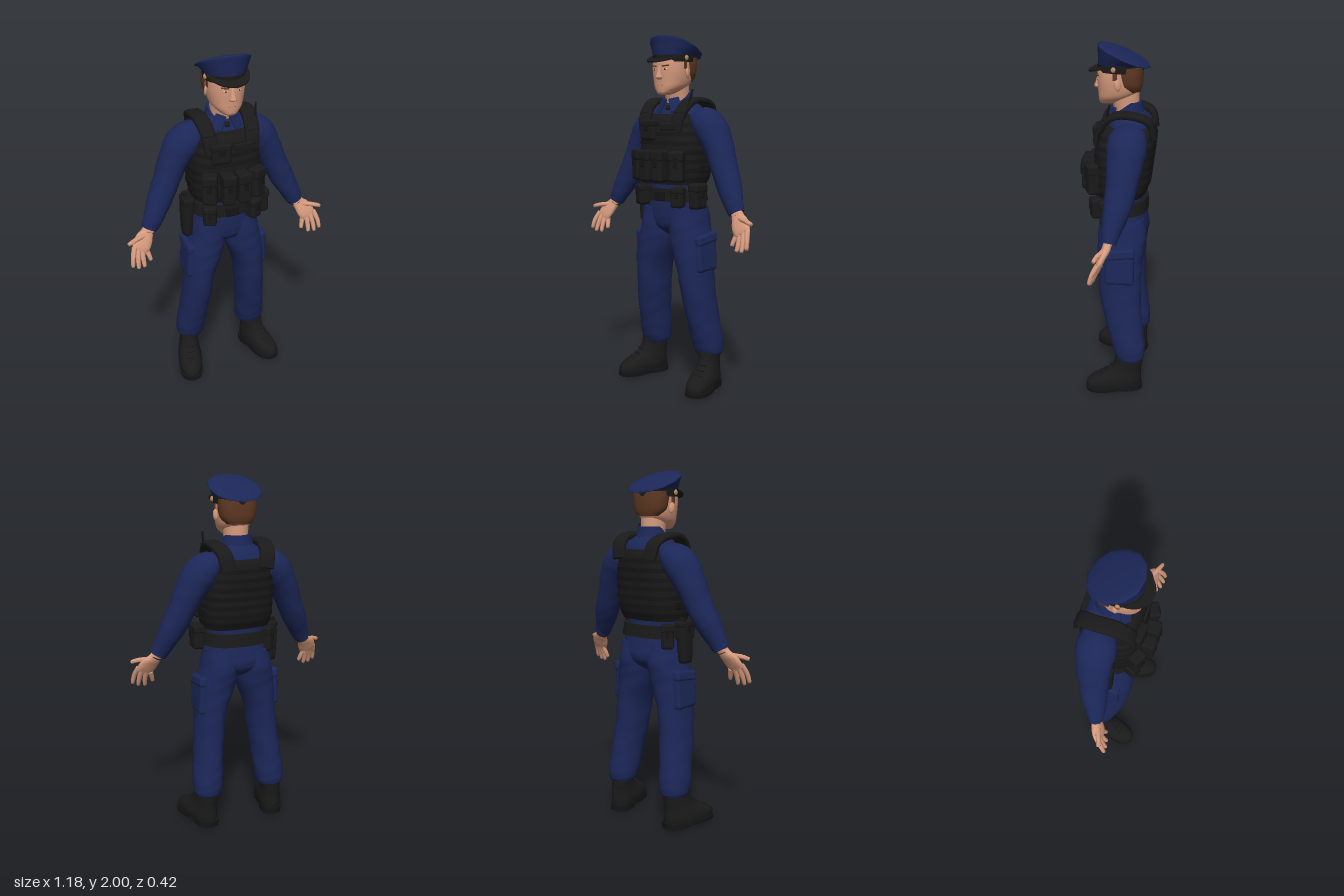
import * as THREE from 'three';
import { toCreasedNormals } from 'three/addons/utils/BufferGeometryUtils.js';
import { RoundedBoxGeometry } from 'three/addons/geometries/RoundedBoxGeometry.js';

const mats = {};
for (const [name, hex] of Object.entries({
  navyCloth: 0x1c2758, blackGear: 0x1a1a1a, darkWebbing: 0x151515, skin: 0xd69a7d,
  hairBrown: 0x5e3822, eyeWhite: 0xd8d0c8, lip: 0xb47561, tan: 0xc08a60,
})) mats[name] = new THREE.MeshStandardMaterial({ name, color: hex });
const { navyCloth, blackGear, darkWebbing, skin, hairBrown, eyeWhite, lip, tan } = mats;

function add(parent, name, geo, mat, pos = [0, 0, 0], rot = [0, 0, 0], scale = [1, 1, 1]) {
  const m = new THREE.Mesh(geo, mat);
  m.name = name;
  m.position.set(...pos);
  m.rotation.set(...rot);
  m.scale.set(...scale);
  parent.add(m);
}

// Closed skin over superellipse rings [x, y, z, rx, rz]; tilt turns rings along the path
function loft(rings, { seg = 24, n = 2, steps = 4, tilt = false, wrinkle = 0, crease = 0.9, move } = {}) {
  const curve = (f) => new THREE.CatmullRomCurve3(rings.map(f), false, 'catmullrom', 0.5);
  const mid = curve((r) => new THREE.Vector3(r[0], r[1], r[2]));
  const rad = curve((r) => new THREE.Vector3(r[3], r[4], 0));
  const rows = (rings.length - 1) * steps, pos = [], idx = [];
  const sp = (v) => Math.sign(v) * Math.abs(v) ** (2 / n);
  for (let i = 0; i <= rows; i++) {
    const k = i / rows, c = mid.getPoint(k), r = rad.getPoint(k);
    const t = tilt ? mid.getTangent(k) : new THREE.Vector3(0, 1, 0);
    const u = new THREE.Vector3(1, 0, 0).addScaledVector(t, -t.x).normalize();
    const v = u.clone().cross(t);
    for (let j = 0; j < seg; j++) {
      const a = (j / seg) * Math.PI * 2;
      const w = 1 + wrinkle * Math.sin(i * 1.55 + 2 * Math.sin(a * 2 + i * 0.4));
      const p = c.clone().addScaledVector(u, sp(Math.cos(a)) * r.x * w).addScaledVector(v, sp(Math.sin(a)) * r.y * w);
      if (move) move(p);
      pos.push(p.x, p.y, p.z);
    }
  }
  for (const k of [0, 1]) {
    const c = mid.getPoint(k);
    if (move) move(c);
    pos.push(c.x, c.y, c.z);
  }
  const B = (rows + 1) * seg, T = B + 1;
  for (let j = 0; j < seg; j++) {
    const q = (j + 1) % seg, e = rows * seg;
    for (let i = 0; i < rows; i++) {
      const a = i * seg + j, b = i * seg + q;
      idx.push(a, a + seg, b, b, a + seg, b + seg);
    }
    idx.push(B, j, q, T, e + q, e + j);
  }
  const g = new THREE.BufferGeometry();
  g.setAttribute('position', new THREE.Float32BufferAttribute(pos, 3));
  g.setIndex(idx);
  return toCreasedNormals(g, crease);
}
const side = (rings, s) => rings.map(([x, ...r]) => [x * s, ...r]);
const rbox = (w, h, d, r = 0.012) => new RoundedBoxGeometry(w, h, d, 2, Math.min(r, w / 2.1, h / 2.1, d / 2.1));

// Gear pouch with a lid flap and a closing tab
function pouch(parent, name, [x, y, z], [w, h, d], ry = 0) {
  const g = new THREE.Group();
  g.name = name;
  g.position.set(x, y, z);
  g.rotation.y = ry;
  add(g, 'pouchBody', rbox(w, h, d, 0.018), blackGear);
  add(g, 'pouchFlap', rbox(w * 1.05, h * 0.36, d * 1.1, 0.015), blackGear, [0, h * 0.33, 0]);
  add(g, 'pouchTab', rbox(w * 0.28, h * 0.34, 0.01, 0.004), darkWebbing, [0, h * 0.14, d * 0.55]);
  parent.add(g);
}

const VEST = [[0, 1.18, -0.02, 0.185, 0.13], [0, 1.25, -0.028, 0.198, 0.152], [0, 1.4, -0.036, 0.198, 0.162],
  [0, 1.48, -0.045, 0.18, 0.162], [0, 1.54, -0.055, 0.152, 0.152], [0, 1.57, -0.06, 0.14, 0.14]];
function vestAt(y, grow) {
  const i = Math.max(0, VEST.findIndex((r, k) => k < VEST.length - 1 && y <= VEST[k + 1][1]));
  const k = (y - VEST[i][1]) / (VEST[i + 1][1] - VEST[i][1]);
  const r = VEST[i].map((v, c) => v + (VEST[i + 1][c] - v) * k);
  return [r[0], y, r[2], r[3] + grow, r[4] + grow];
}

function buildHead(root) {
  const head = new THREE.Group();
  head.name = 'head';
  root.add(head);
  add(head, 'neck', loft([[0, 1.56, -0.06, 0.072, 0.075], [0, 1.64, -0.045, 0.066, 0.07], [0, 1.74, -0.03, 0.07, 0.08]]), skin);
  add(head, 'face', loft([[0, 1.674, 0.068, 0.022, 0.026], [0, 1.685, 0.05, 0.047, 0.054], [0, 1.715, 0.02, 0.078, 0.088],
    [0, 1.75, 0, 0.092, 0.11], [0, 1.8, -0.003, 0.1, 0.116], [0, 1.85, -0.006, 0.101, 0.119], [0, 1.885, -0.01, 0.1, 0.115]],
  { n: 2.3, seg: 32 }), skin);
  add(head, 'nose', loft([[0, 1.756, 0.106, 0.012, 0.01], [0, 1.766, 0.113, 0.02, 0.02], [0, 1.79, 0.109, 0.013, 0.016],
    [0, 1.828, 0.105, 0.011, 0.009]], { seg: 12, crease: 1.5 }), skin);
  add(head, 'mouth', rbox(0.048, 0.007, 0.01, 0.003), lip, [0, 1.727, 0.103]);
  add(head, 'hair', loft([[0, 1.748, -0.075, 0.07, 0.045], [0, 1.78, -0.062, 0.096, 0.067], [0, 1.83, -0.057, 0.106, 0.075],
    [0, 1.88, -0.055, 0.107, 0.075]], { n: 2.4 }), hairBrown);
  const ball = new THREE.SphereGeometry(1, 14, 10);
  for (const s of [-1, 1]) {
    add(head, 'ear', ball, skin, [s * 0.104, 1.792, -0.005], [0.15, s * 0.4, 0], [0.009, 0.03, 0.018]);
    add(head, 'sideburn', rbox(0.008, 0.05, 0.024, 0.004), hairBrown, [s * 0.102, 1.84, 0.01]);
    add(head, 'eye', ball, eyeWhite, [s * 0.038, 1.812, 0.105], [0, s * 0.3, 0], [0.013, 0.005, 0.006]);
    add(head, 'iris', ball, hairBrown, [s * 0.037, 1.812, 0.109], [0, s * 0.3, 0], [0.005, 0.005, 0.004]);
    add(head, 'eyebrow', rbox(0.042, 0.007, 0.01, 0.003), hairBrown, [s * 0.041, 1.831, 0.108], [0, s * 0.33, s * 0.1]);
  }

  // Peaked cap: flat loft whose upper part is sheared up at the front
  const cap = new THREE.Group();
  cap.name = 'cap';
  root.add(cap);
  add(cap, 'capBand', loft([[0, 1.853, -0.01, 0.113, 0.122], [0, 1.89, -0.01, 0.115, 0.123]], { steps: 1 }), blackGear);
  add(cap, 'capCrown', loft([[0, 1.88, -0.01, 0.111, 0.12], [0, 1.893, -0.013, 0.117, 0.124], [0, 1.922, -0.026, 0.143, 0.138],
    [0, 1.934, -0.028, 0.148, 0.141], [0, 1.945, -0.028, 0.126, 0.122], [0, 1.952, -0.028, 0.06, 0.06]], {
    seg: 12, steps: 2, n: 2.1, crease: 0.7,
    move: (p) => { p.y += (p.z + 0.028) * 0.42 * THREE.MathUtils.smoothstep(p.y, 1.885, 1.93); },
  }), navyCloth);
  const peak = new THREE.Shape();
  peak.moveTo(-0.117, 0.03);
  peak.absellipse(0, 0.03, 0.117, 0.14, Math.PI, 0, true);
  peak.absellipse(0, 0.03, 0.108, 0.07, 0, Math.PI, false);
  add(cap, 'capVisor', new THREE.ExtrudeGeometry(peak, { depth: 0.008, bevelEnabled: false, curveSegments: 24 }), blackGear,
    [0, 1.905, 0], [Math.PI / 2 + 0.31, 0, 0]);
  for (const s of [-1, 1]) add(cap, 'capButton', ball, tan, [s * 0.115, 1.874, 0.016], [0, 0, 0], [0.009, 0.015, 0.013]);
}

function buildTorso(root) {
  add(root, 'shirt', loft([[0, 1.1, -0.03, 0.165, 0.12], [0, 1.2, -0.03, 0.168, 0.12], [0, 1.4, -0.045, 0.185, 0.13],
    [0, 1.52, -0.06, 0.185, 0.125], [0, 1.59, -0.065, 0.15, 0.105], [0, 1.63, -0.06, 0.1, 0.082], [0, 1.645, -0.055, 0.07, 0.07]],
  { n: 2.3 }), navyCloth);
  add(root, 'hips', loft([[0, 0.89, -0.028, 0.025, 0.06], [0, 0.93, -0.032, 0.12, 0.115], [0, 0.98, -0.036, 0.18, 0.133],
    [0, 1.05, -0.03, 0.19, 0.13], [0, 1.15, -0.025, 0.17, 0.122]], { n: 2.3, wrinkle: 0.006 }), navyCloth);
  // Collar: standing band, high at the back, and two front points
  add(root, 'collarBand', loft([[0, 1.6, -0.055, 0.1, 0.092], [0, 1.65, -0.052, 0.088, 0.082], [0, 1.692, -0.055, 0.078, 0.072]],
    { move: (p) => { p.y -= Math.max(0, p.z + 0.07) * 0.75; } }), navyCloth);
  add(root, 'undershirt', rbox(0.03, 0.03, 0.02), blackGear, [0, 1.605, 0.037], [-0.4, 0, 0]);
  for (const s of [-1, 1])
    add(root, 'collarPoint', rbox(0.06, 0.085, 0.016, 0.006), navyCloth, [s * 0.048, 1.62, 0.036], [-0.5, s * 0.5, s * 0.5]);

  const vest = new THREE.Group();
  vest.name = 'vest';
  root.add(vest);
  add(vest, 'vestBody', loft(VEST, { n: 3, seg: 40 }), blackGear);
  for (let y = 1.21; y < 1.56; y += 0.05)
    add(vest, 'vestWebbing', loft([vestAt(y - 0.012, 0.004), vestAt(y + 0.012, 0.004)], { n: 3, seg: 40, steps: 1 }), darkWebbing);
  for (const s of [-1, 1]) {
    add(vest, 'shoulderStrap', loft(side([[0.112, 1.48, 0.108, 0.04, 0.013], [0.122, 1.56, 0.09, 0.04, 0.015],
      [0.134, 1.635, 0.015, 0.042, 0.017], [0.14, 1.642, -0.09, 0.042, 0.017], [0.125, 1.605, -0.175, 0.042, 0.017],
      [0.11, 1.52, -0.2, 0.042, 0.014]], s), { n: 4, tilt: true }), blackGear);
    add(vest, 'strapPad', rbox(0.07, 0.06, 0.03), blackGear, [s * 0.126, 1.59, 0.075], [-0.65, 0, 0]);
    pouch(vest, 'magazinePouch', [s * 0.043, 1.285, 0.16], [0.074, 0.175, 0.08], s * 0.06);
    pouch(vest, 'sidePouch', [s * 0.135, 1.285, 0.122], [0.082, 0.17, 0.08], s * 0.45);
    add(vest, 'sideBuckle', rbox(0.02, 0.05, 0.1), darkWebbing, [s * 0.193, 1.27, -0.04]);
  }
  pouch(vest, 'chestPouch', [-0.07, 1.48, 0.122], [0.11, 0.115, 0.045], -0.08);
  add(vest, 'chestPanel', rbox(0.12, 0.04, 0.015), blackGear, [0.065, 1.5, 0.117]);
  add(vest, 'radio', rbox(0.045, 0.1, 0.04), blackGear, [0.14, 1.59, 0.068], [-0.5, 0, -0.15]);
  add(vest, 'radioAntenna', new THREE.CylinderGeometry(0.005, 0.007, 0.1, 8), darkWebbing, [0.16, 1.655, 0.04], [-0.25, 0, -0.15]);

  // Duty belt with its gear
  const belt = new THREE.Group();
  belt.name = 'belt';
  root.add(belt);
  add(belt, 'beltStrap', loft([[0, 1.085, -0.03, 0.193, 0.142], [0, 1.155, -0.028, 0.183, 0.137]], { n: 2.4, steps: 1, seg: 32 }), blackGear);
  add(belt, 'beltBuckle', rbox(0.075, 0.055, 0.02, 0.006), darkWebbing, [0, 1.115, 0.113]);
  for (const s of [-1, 1]) pouch(belt, 'beltPouch', [s * 0.13, 1.115, 0.107], [0.075, 0.115, 0.07], s * 0.4);
  pouch(belt, 'hipPouch', [0.208, 1.12, 0.03], [0.1, 0.14, 0.065], Math.PI / 2);
  pouch(belt, 'holsterTop', [-0.215, 1.13, -0.03], [0.1, 0.11, 0.06], -Math.PI / 2);
  pouch(belt, 'rearPouch', [-0.168, 1.1, -0.115], [0.07, 0.14, 0.05], -2.45);
  add(belt, 'holster', loft([[-0.222, 0.95, -0.025, 0.022, 0.034], [-0.222, 0.97, -0.025, 0.028, 0.042], [-0.22, 1.1, -0.03, 0.032, 0.05],
    [-0.218, 1.18, -0.035, 0.03, 0.045]], { n: 3 }), blackGear);
  add(belt, 'pistolGrip', rbox(0.03, 0.06, 0.04), darkWebbing, [-0.222, 1.175, -0.055], [0.4, 0, 0]);
}

function buildArm(root, s) {
  const arm = new THREE.Group();
  arm.name = s > 0 ? 'leftArm' : 'rightArm';
  root.add(arm);
  add(arm, 'sleeve', loft(side([[0.12, 1.55, -0.065, 0.05, 0.07], [0.17, 1.532, -0.067, 0.08, 0.098], [0.222, 1.488, -0.066, 0.093, 0.106],
    [0.278, 1.4, -0.06, 0.082, 0.093], [0.322, 1.3, -0.048, 0.073, 0.082], [0.37, 1.2, -0.032, 0.07, 0.072],
    [0.42, 1.1, -0.008, 0.056, 0.052], [0.449, 1.045, 0, 0.046, 0.04]], s), { tilt: true, wrinkle: 0.016, seg: 28 }), navyCloth);
  add(arm, 'wristband', loft(side([[0.448, 1.05, 0, 0.036, 0.032], [0.458, 1.03, 0.004, 0.036, 0.03]], s), { tilt: true, steps: 1 }), blackGear);
  add(arm, 'palm', loft(side([[0.445, 1.06, 0, 0.031, 0.024], [0.466, 1.025, 0.01, 0.037, 0.023], [0.49, 0.995, 0.025, 0.05, 0.021],
    [0.51, 0.962, 0.04, 0.051, 0.018], [0.52, 0.942, 0.047, 0.045, 0.013]], s), { tilt: true, n: 2.4 }), skin);
  const fingers = {
    indexFinger: [[0.55, 0.97, 0.045], [0.568, 0.92, 0.072], [0.575, 0.874, 0.086]],
    middleFinger: [[0.529, 0.955, 0.046], [0.54, 0.9, 0.07], [0.543, 0.858, 0.085]],
    ringFinger: [[0.507, 0.945, 0.044], [0.509, 0.895, 0.064], [0.507, 0.856, 0.078]],
    littleFinger: [[0.485, 0.94, 0.04], [0.474, 0.91, 0.052], [0.466, 0.88, 0.063]],
    thumb: [[0.487, 1.02, 0.022], [0.545, 1.014, 0.048], [0.584, 1.004, 0.06]],
  };
  for (const [name, [a, b, c]] of Object.entries(fingers)) {
    const end = c.map((v, i) => v + (c[i] - b[i]) * 0.08);
    add(arm, name, loft(side([[...a, 0.0155, 0.014], [...b, 0.0135, 0.013], [...c, 0.0105, 0.0105], [...end, 0.005, 0.005]], s),
      { tilt: true, seg: 10, steps: 3, crease: 1.4 }), skin);
  }
}

function buildLeg(root, s) {
  const leg = new THREE.Group();
  leg.name = s > 0 ? 'leftLeg' : 'rightLeg';
  root.add(leg);
  add(leg, 'trouserLeg', loft(side([[0.2, 0.195, -0.092, 0.07, 0.07], [0.2, 0.215, -0.09, 0.08, 0.083], [0.196, 0.28, -0.08, 0.087, 0.095],
    [0.185, 0.4, -0.057, 0.083, 0.104], [0.168, 0.55, -0.033, 0.084, 0.114], [0.152, 0.7, -0.024, 0.088, 0.123],
    [0.122, 0.84, -0.024, 0.11, 0.13], [0.104, 0.94, -0.032, 0.104, 0.137], [0.095, 1.05, -0.03, 0.094, 0.125]], s),
  { wrinkle: 0.017, seg: 28, n: 2.15 }), navyCloth);
  add(leg, 'cargoPocket', rbox(0.05, 0.2, 0.165, 0.022), navyCloth, [s * 0.219, 0.79, -0.028], [0, 0, s * 0.05]);
  add(leg, 'cargoFlap', rbox(0.05, 0.06, 0.17, 0.018), navyCloth, [s * 0.219, 0.875, -0.028], [0.12, 0, s * 0.12]);

  // Boot turned slightly outwards
  const boot = new THREE.Group();
  boot.name = 'boot';
  boot.position.set(s * 0.233, 0, 0);
  boot.rotation.y = s * 0.25;
  leg.add(boot);
  add(boot, 'bootUpper', loft([[0, 0.02, 0, 0.066, 0.158], [0, 0.06, 0, 0.072, 0.162], [0, 0.095, -0.02, 0.067, 0.14],
    [0, 0.13, -0.058, 0.058, 0.102], [0, 0.17, -0.08, 0.055, 0.084], [0, 0.23, -0.088, 0.056, 0.076]], { n: 2.4 }), blackGear);
  add(boot, 'bootSole', loft([[0, 0.01, 0.045, 0.07, 0.12], [0, 0.034, 0.045, 0.073, 0.122]], { n: 2.4, steps: 1 }), darkWebbing);
  add(boot, 'bootHeel', loft([[0, 0, -0.085, 0.062, 0.08], [0, 0.036, -0.085, 0.062, 0.082]], { n: 2.6, steps: 1 }), darkWebbing);
  for (let i = 0; i < 4; i++)
    add(boot, 'bootLace', rbox(0.05, 0.008, 0.012, 0.004), blackGear, [0, 0.113 + i * 0.022, 0.076 - i * 0.028], [-0.8, 0, 0]);
}

export function createModel() {
  const root = new THREE.Group();
  root.name = 'officer';
  buildHead(root);
  buildTorso(root);
  for (const s of [-1, 1]) {
    buildArm(root, s);
    buildLeg(root, s);
  }
  return root;
}
